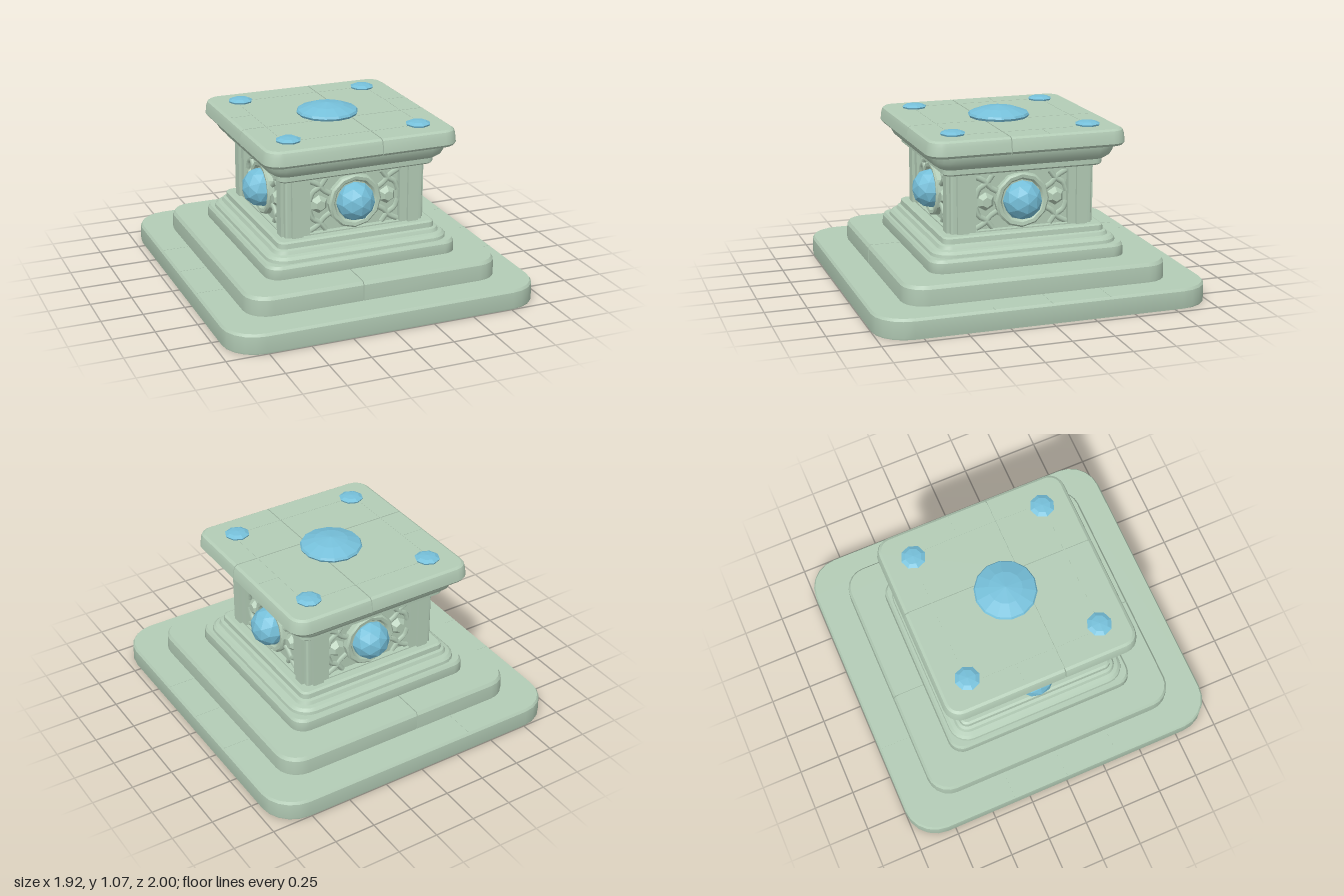
import * as THREE from 'three';
import { toCreasedNormals } from 'three/addons/utils/BufferGeometryUtils.js';

const stone = new THREE.MeshStandardMaterial({ color: 0xb3ccb6 });
stone.name = 'sage stone';
const crystal = new THREE.MeshStandardMaterial({ color: 0x76c0da });
crystal.name = 'blue crystal';

function add(parent, name, geometry, material, x = 0, y = 0, z = 0) {
  const mesh = new THREE.Mesh(geometry, material);
  mesh.name = name;
  mesh.position.set(x, y, z);
  parent.add(mesh);
  return mesh;
}

const faceted = (g) => {
  const flat = g.index ? g.toNonIndexed() : g;
  flat.computeVertexNormals();
  return flat;
};
const lathe = (profile, sides) => new THREE.LatheGeometry(profile.map(([r, y]) => new THREE.Vector2(r, y)), sides);
const rectangle = (x, y) => [[-x, -y], [x, -y], [x, y], [-x, y]].map(([u, v]) => new THREE.Vector2(u, v));

// Rounded rectangle in the ground plane, as [x, z] points
function outline(hx, hz, r, steps = 5) {
  const pts = [];
  for (let q = 0; q < 4; q++) {
    const sx = q === 0 || q === 3 ? 1 : -1, sz = q < 2 ? 1 : -1;
    for (let i = 0; i <= steps; i++) {
      const a = (q + i / steps) * Math.PI / 2;
      pts.push([sx * (hx - r) + r * Math.cos(a), sz * (hz - r) + r * Math.sin(a)]);
    }
  }
  return pts;
}

// Closed solid through a sequence of convex rings: [{ y, pts }]
function loft(rings) {
  const pos = [];
  const tri = (...v) => v.forEach(([p, y]) => pos.push(p[0], y, p[1]));
  const n = rings[0].pts.length;
  for (let k = 0; k + 1 < rings.length; k++) {
    const lo = rings[k], hi = rings[k + 1];
    for (let i = 0; i < n; i++) {
      const j = (i + 1) % n;
      const a = [lo.pts[i], lo.y], b = [lo.pts[j], lo.y], c = [hi.pts[i], hi.y], d = [hi.pts[j], hi.y];
      tri(a, c, b);
      tri(c, d, b);
    }
  }
  const bot = rings[0], top = rings[rings.length - 1];
  for (let i = 1; i + 1 < n; i++) {
    tri([bot.pts[0], bot.y], [bot.pts[i], bot.y], [bot.pts[i + 1], bot.y]);
    tri([top.pts[0], top.y], [top.pts[i + 1], top.y], [top.pts[i], top.y]);
  }
  const g = new THREE.BufferGeometry();
  g.setAttribute('position', new THREE.Float32BufferAttribute(pos, 3));
  return toCreasedNormals(g, 0.5);
}

// Moulding from an [inset, y] profile around a rounded rectangle
const moulding = (hx, hz, r, profile) =>
  loft(profile.map(([d, y]) => ({ y, pts: outline(hx - d, hz - d, r - d) })));

// Keep the part of a convex outline where sign * p[axis] <= limit
function clip(pts, axis, sign, limit) {
  const out = [];
  pts.forEach((p, i) => {
    const q = pts[(i + 1) % pts.length];
    const dp = sign * p[axis] - limit, dq = sign * q[axis] - limit;
    if (dp <= 0) out.push(p);
    if (dp * dq < 0) {
      const t = dp / (dp - dq);
      out.push([p[0] + (q[0] - p[0]) * t, p[1] + (q[1] - p[1]) * t]);
    }
  });
  return out;
}

// Slab cut into blocks with fine open joints over an inner core
function slab(name, hx, hz, r, profile, xCuts, zCuts) {
  const group = new THREE.Group();
  group.name = name;
  const gap = 0.003;
  const xs = [-2, ...xCuts, 2], zs = [-2, ...zCuts, 2];
  for (let i = 0; i + 1 < xs.length; i++) for (let k = 0; k + 1 < zs.length; k++) {
    add(group, 'stoneBlock', loft(profile.map(([d, y]) => {
      let pts = clip(outline(hx - d, hz - d, r - d), 0, 1, xs[i + 1] - gap);
      pts = clip(pts, 0, -1, -(xs[i] + gap));
      pts = clip(pts, 1, 1, zs[k + 1] - gap);
      return { y, pts: clip(pts, 1, -1, -(zs[k] + gap)) };
    })), stone);
  }
  const y0 = profile[0][1], y1 = profile[profile.length - 1][1];
  add(group, 'jointCore', moulding(hx, hz, r, [[0.035, y0 + 0.005], [0.035, y1 - 0.01]]), stone);
  return group;
}

// Carved panel with its crystal, facing +z
function carvedFace() {
  const face = new THREE.Group();
  face.name = 'carvedFace';
  const cy = 0.585;
  const frame = new THREE.Shape(rectangle(0.34, 0.19));
  frame.holes.push(new THREE.Path(rectangle(0.285, 0.165).reverse()));
  add(face, 'panelFrame', new THREE.ExtrudeGeometry(frame, { depth: 0.045, bevelEnabled: false }), stone, 0, cy, 0.39);

  // Round setting behind the crystal
  const setting = lathe([[0.166, 0], [0.166, 0.035], [0.155, 0.045], [0.135, 0.042], [0.122, 0.025], [0, 0.025]], 12);
  setting.rotateX(Math.PI / 2);
  add(face, 'crystalSetting', toCreasedNormals(setting, 0.5), stone, 0, cy, 0.395);
  const gem = new THREE.IcosahedronGeometry(0.118, 1);
  gem.scale(1, 1, 0.95);
  add(face, 'sideCrystal', faceted(gem), crystal, 0, cy, 0.432);

  for (const s of [-1, 1]) {
    // Fluted pilaster beside the panel
    add(face, 'pilaster', new THREE.BoxGeometry(0.068, 0.38, 0.06), stone, s * 0.366, 0.59, 0.422);

    // Carved boss with crossing tendrils above and below
    const boss = new THREE.CylinderGeometry(0.03, 0.058, 0.035, 6);
    boss.rotateX(Math.PI / 2);
    add(face, 'carvedBoss', faceted(boss), stone, s * 0.215, cy, 0.415);
    for (const t of [-1, 1]) {
      for (const points of [[[0.15, 0.06], [0.19, 0.085], [0.225, 0.125], [0.28, 0.155]],
        [[0.28, 0.03], [0.26, 0.08], [0.215, 0.11], [0.175, 0.16]]]) {
        const path = new THREE.CatmullRomCurve3(points.map(([x, y]) => new THREE.Vector3(s * x, t * y, 0)));
        add(face, 'carvedTendril', new THREE.TubeGeometry(path, 8, 0.017, 5), stone, 0, cy, 0.408);
      }
    }
  }
  return face;
}

export function createModel() {
  const model = new THREE.Group();
  model.name = 'stonePedestal';
  const joint = (x, y, z, w, d) => add(model, 'fineJoint', new THREE.BoxGeometry(w, 0.003, d), stone, x, y, z);

  // Lowest step, hollow beneath, with short ribs inside
  add(model, 'lowerStep', moulding(0.96, 1, 0.2, [[0.012, 0.106], [0.012, 0], [0.003, 0], [0, 0.01],
    [0.002, 0.105], [0.012, 0.12]]), stone);
  for (const s of [-1, 1]) for (const z of [-0.35, 0, 0.34]) {
    add(model, 'hollowRib', new THREE.BoxGeometry(0.16, 0.108, 0.012), stone, s * 0.87, 0.055, z);
    joint(s * 0.87, 0.12, z, 0.16, 0.006);
  }
  joint(-0.34, 0.12, -0.89, 0.006, 0.19);

  // Upper steps
  model.add(slab('middleStep', 0.785, 0.8, 0.14, [[0.003, 0.112], [0, 0.13], [0.003, 0.215], [0.016, 0.235]], [-0.1], []));
  add(model, 'upperStep', moulding(0.6, 0.6, 0.09, [[0.003, 0.23], [0, 0.24], [0.004, 0.295], [0.016, 0.312]]), stone);
  add(model, 'footMoulding', moulding(0.57, 0.57, 0.12, [[0, 0.305], [0.005, 0.33], [0.022, 0.345], [0.045, 0.35],
    [0.055, 0.37], [0.073, 0.375], [0.076, 0.405], [0.09, 0.413]]), stone);

  // Square shaft with slim corner posts and carved faces
  add(model, 'shaftCore', new THREE.BoxGeometry(0.8, 0.38, 0.8), stone, 0, 0.59, 0);
  for (const x of [-0.402, 0.402]) for (const z of [-0.402, 0.402]) {
    add(model, 'cornerPost', moulding(0.032, 0.032, 0.012, [[0, 0.405], [0, 0.785]]), stone, x, 0, z);
  }
  for (let i = 0; i < 4; i++) {
    const face = carvedFace();
    face.rotation.y = i * Math.PI / 2;
    model.add(face);
  }

  // Flared crown and paved top
  add(model, 'crownMoulding', moulding(0.565, 0.565, 0.13, [[0.09, 0.77], [0.078, 0.78], [0.078, 0.808], [0.06, 0.815],
    [0.03, 0.835], [0.015, 0.86], [0, 0.895], [0, 0.915]]), stone);
  model.add(slab('capSlab', 0.598, 0.602, 0.1, [[0.012, 0.9], [0, 0.915], [0.006, 0.965], [0.014, 0.988], [0.03, 0.998]],
    [0.1], [0.12]));
  for (const s of [-1, 1]) {
    joint(0, 0.998, s * 0.42, 0.66, 0.006);
    joint(s * 0.43, 0.998, 0, 0.006, 0.66);
    joint(s * 0.5, 0.998, -0.12, 0.13, 0.006);
  }

  // Crystals set into the top
  const dome = [[0.17, 0.985], [0.186, 1.012], [0.178, 1.025], [0.1, 1.052], [0, 1.066]];
  add(model, 'centreCrystal', faceted(lathe(dome, 14)), crystal);
  const stud = [[0.065, 0.985], [0.075, 1.008], [0.05, 1.02], [0, 1.025]];
  for (const x of [-0.405, 0.405]) for (const z of [-0.412, 0.412]) {
    add(model, 'cornerCrystal', faceted(lathe(stud, 8)), crystal, x, 0, z);
  }
  return model;
}
